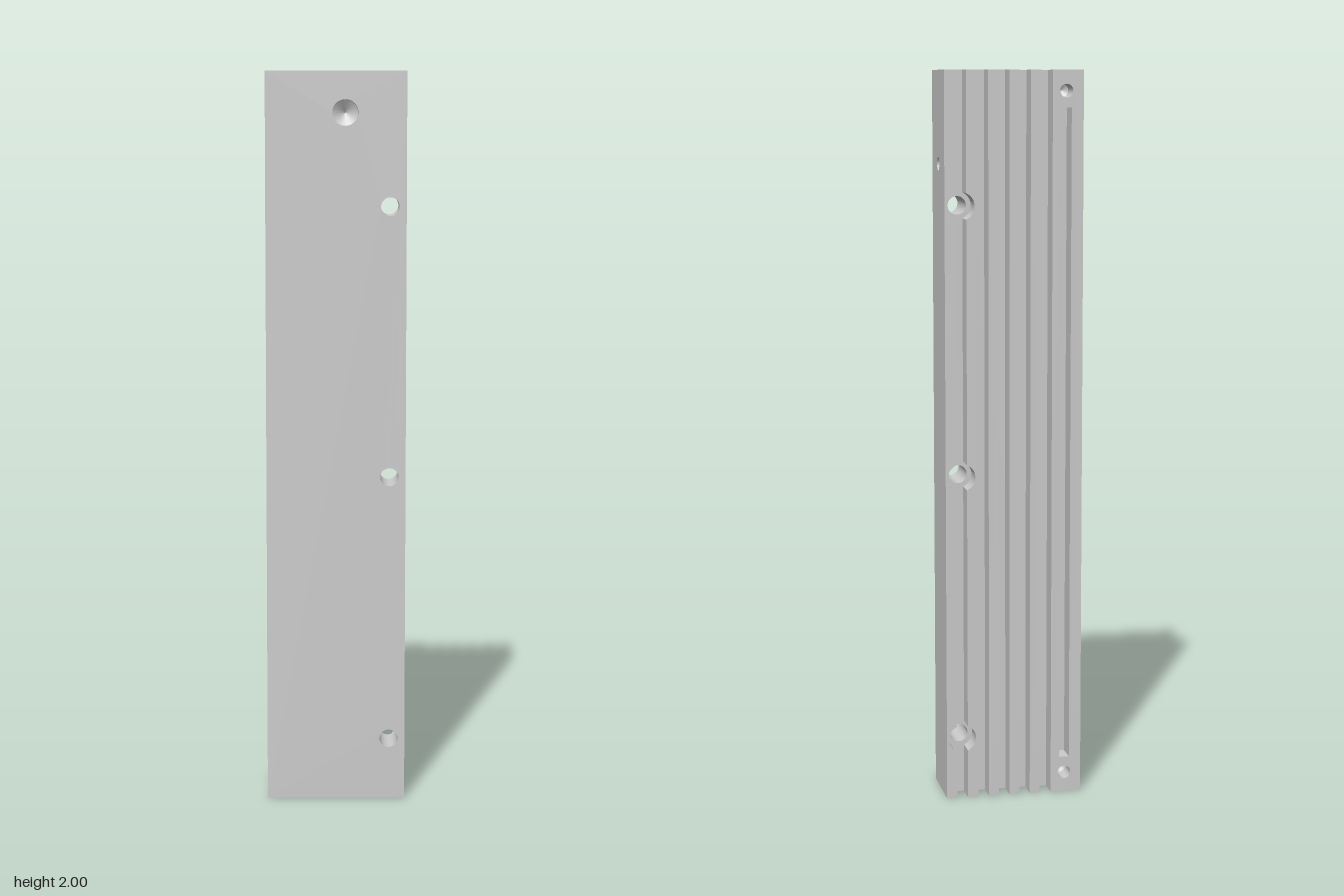
import * as THREE from 'three';

const H = 2, W = 0.19, FRONT = 0.091, BACK = -0.093, FLOOR = -0.035, LAND = -0.105;
const BORE_X = 0.146, BORE_R = 0.038, BORE_Y = [0.17, 0.905, 1.64];
const SCREW_R = 0.025;
const LAND_X = -0.143, PORT_R = 0.018, PORT_Y = [0.055, 1.945];
const SLOT = [-0.157, -0.129, 0.1, 1.9];
// Side channel: circular arc cut into the -x side
const ARC = { x: -0.2503, z: 0.004, r: 0.0823, a: 0.748 };

export function createModel() {
  const model = new THREE.Group();
  model.name = 'finnedBlock';
  const skin = new THREE.MeshStandardMaterial({ color: 0xcccccc, side: THREE.DoubleSide });
  const inside = new THREE.MeshStandardMaterial({ color: 0xcccccc, side: THREE.BackSide });

  function add(name, geometry, material = skin) {
    const mesh = new THREE.Mesh(geometry, material);
    mesh.name = name;
    model.add(mesh);
    return mesh;
  }

  const polygon = pts => new THREE.Shape(pts.map(p => new THREE.Vector2(p[0], p[1])));
  const rect = (a, b, c, d) => polygon([[a, c], [b, c], [b, d], [a, d]]);
  const punch = (shape, x, y, r) =>
    shape.holes.push(new THREE.Path().absarc(x, y, r, 0, Math.PI * 2, true));
  const face = (name, shape) => add(name, new THREE.ShapeGeometry(shape, 24));

  // Wall parallel to the yz plane, drawn as (z, y)
  function sideFace(name, x, shape) {
    const mesh = face(name, shape);
    mesh.geometry.rotateY(-Math.PI / 2);
    mesh.position.x = x;
  }

  // Drilled hole running inward along dir, with an optional drill point
  function drill(name, start, dir, r, depth, point = true) {
    const hole = new THREE.Group();
    hole.name = name;
    const wall = new THREE.Mesh(new THREE.CylinderGeometry(r, r, depth, 32, 1, true), inside);
    wall.name = 'holeWall';
    wall.position.y = depth / 2;
    hole.add(wall);
    if (point) {
      const tip = new THREE.Mesh(new THREE.ConeGeometry(r, r * 0.6, 32, 1, true), inside);
      tip.name = 'drillPoint';
      tip.position.y = depth + r * 0.3;
      hole.add(tip);
    }
    hole.position.set(...start);
    hole.quaternion.setFromUnitVectors(new THREE.Vector3(0, 1, 0), new THREE.Vector3(...dir));
    model.add(hole);
  }

  // Front face with its port and screw holes
  const front = rect(-W, W, 0, H);
  punch(front, 0.025, 1.89, 0.035);
  BORE_Y.forEach(y => punch(front, BORE_X, y, SCREW_R));
  face('frontFace', front).position.z = FRONT;
  drill('frontPort', [0.025, 1.89, FRONT], [0, 0, -1], 0.035, 0.08);

  // Floor between the fins, pierced by the screw holes
  const floor = rect(LAND, W, 0, H);
  BORE_Y.forEach(y => punch(floor, BORE_X, y, SCREW_R));
  face('finFloor', floor).position.z = FLOOR;
  BORE_Y.forEach(y =>
    drill('screwHole', [BORE_X, y, FRONT], [0, 0, -1], SCREW_R, FRONT - FLOOR, false));

  // Cooling fins; the last two are notched by the screw head bores
  const fins = [[-0.073, -0.045], [-0.015, 0.013], [0.043, 0.071], [0.101, 0.131], [0.19, 0.161]];
  fins.forEach(([outer, inner], i) => {
    const pts = [[outer, 0], [inner, 0]];
    if (i >= 3) {
      const side = Math.sign(inner - BORE_X);
      const half = Math.acos(Math.abs(inner - BORE_X) / BORE_R);
      for (const y of BORE_Y) {
        for (let k = 0; k <= 16; k++) {
          const t = half * (k / 8 - 1);
          pts.push([BORE_X + side * BORE_R * Math.cos(t), y + BORE_R * Math.sin(t)]);
        }
      }
    }
    pts.push([inner, H], [outer, H]);
    const geometry = new THREE.ExtrudeGeometry(polygon(pts), { depth: FLOOR - BACK, bevelEnabled: false });
    add('fin', geometry).position.z = BACK;
  });

  // Flat land on the back with a long slot and a port at each end
  const land = rect(-W, LAND, 0, H);
  land.holes.push(rect(...SLOT));
  PORT_Y.forEach(y => punch(land, LAND_X, y, PORT_R));
  face('backLand', land).position.z = BACK;
  PORT_Y.forEach(y => drill('backPort', [LAND_X, y, BACK], [0, 0, 1], PORT_R, 0.06));
  const slot = add('backSlot',
    new THREE.BoxGeometry(SLOT[1] - SLOT[0], SLOT[3] - SLOT[2], FLOOR - BACK), inside);
  slot.position.set((SLOT[0] + SLOT[1]) / 2, H / 2, (BACK + FLOOR) / 2);
  sideFace('landWall', LAND, rect(BACK, FLOOR, 0, H));

  // Plain side with a small drilled hole
  const side = rect(FLOOR, FRONT, 0, H);
  punch(side, 0, 1.75, 0.018);
  sideFace('sideFace', W, side);
  drill('sideHole', [W, 1.75, 0], [-1, 0, 0], 0.018, 0.09);

  // Channelled side
  const reach = ARC.r * Math.sin(ARC.a);
  sideFace('channelLip', -W, rect(BACK, ARC.z - reach, 0, H));
  sideFace('channelLip', -W, rect(ARC.z + reach, FRONT, 0, H));
  add('sideChannel', new THREE.CylinderGeometry(ARC.r, ARC.r, H, 24, 1, true,
    Math.PI / 2 - ARC.a, ARC.a * 2), skin).position.set(ARC.x, H / 2, ARC.z);

  // End faces, drawn as (x, z)
  for (const y of [0, H]) {
    const pts = [[-W, BACK], [LAND, BACK], [LAND, FLOOR], [W, FLOOR], [W, FRONT], [-W, FRONT]];
    for (let k = 0; k <= 24; k++) {
      const t = ARC.a * (1 - k / 12);
      pts.push([ARC.x + ARC.r * Math.cos(t), ARC.z + ARC.r * Math.sin(t)]);
    }
    const end = polygon(pts);
    const inward = [0, y ? -1 : 1, 0];
    punch(end, -0.133, 0.002, 0.02);
    drill('endHole', [-0.133, y, 0.002], inward, 0.02, 0.15);
    if (!y) {
      punch(end, 0.005, 0.02, 0.033);
      drill('bottomPort', [0.005, 0, 0.02], inward, 0.033, 0.25);
    }
    const cap = face(y ? 'topFace' : 'bottomFace', end);
    cap.geometry.rotateX(Math.PI / 2);
    cap.position.y = y;
  }
  return model;
}
